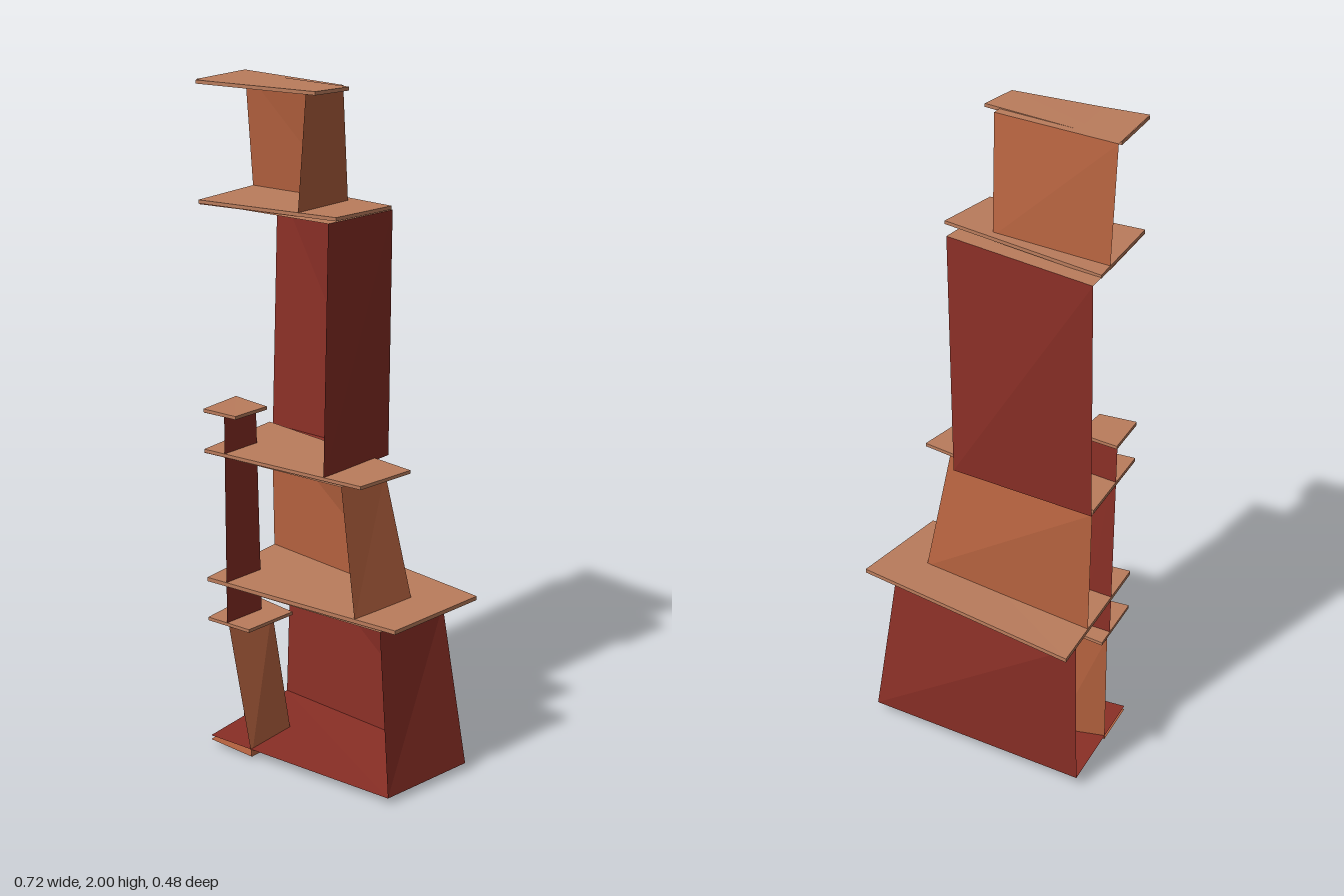
import * as THREE from 'three';

const X = -0.36, Z = 0.24; // the two planes where the building is cut open

const material = (name, color) => {
  const m = new THREE.MeshStandardMaterial({ color, side: THREE.DoubleSide, flatShading: true });
  m.name = name;
  return m;
};

function meshFrom(name, triangles, mat) {
  const g = new THREE.BufferGeometry();
  g.setAttribute('position', new THREE.Float32BufferAttribute(triangles.flat(), 3));
  g.computeVertexNormals();
  const mesh = new THREE.Mesh(g, mat);
  mesh.name = name;
  return mesh;
}

// Walls between a lower and an upper loop of corners
function walls(low, high, closed) {
  const tris = [];
  for (let i = 0; i < low.length - (closed ? 0 : 1); i++) {
    const j = (i + 1) % low.length;
    tris.push(low[i], high[i], low[j], low[j], high[i], high[j]);
  }
  return tris;
}

const floorOf = ([a, b, c, d]) => [a, b, c, a, c, d];
const roofOf = ([a, b, c, d]) => [a, c, b, a, d, c];

// Corners: back at the left cut, outer back corner, front cut, cut corner
const corners = (backZ, [cx, cz], frontX, [y0, y1, y2]) =>
  [[X, y0, backZ], [cx, y1, cz], [frontX, y2, Z], [X, y0, Z]];

export function createModel() {
  const model = new THREE.Group();
  model.name = 'leaningTower';
  const red = material('dark red brick', 0x8a2f26);
  const orange = material('orange brick', 0xb5623f);
  const clay = material('clay slab', 0xba7c5c);

  // One storey: two outer walls, floor and clay roof, open at the cuts
  function storey(name, mat, low, high) {
    const group = new THREE.Group();
    group.name = name;
    group.add(meshFrom(name + 'Walls', [...walls(low.slice(0, 3), high.slice(0, 3), false), ...floorOf(low)], mat));
    group.add(meshFrom(name + 'Roof', roofOf(high), clay));
    model.add(group);
  }

  // Thin projecting slab
  function slab(name, top, thickness = 0.01) {
    const low = top.map(([x, y, z]) => [x, y - thickness, z]);
    const tris = [...walls(low, top, true), ...floorOf(low), ...roofOf(top)];
    model.add(meshFrom(name, tris, clay));
  }

  // Main tower
  storey('groundStorey', red,
    corners(-0.14, [0.35, -0.06], 0.28, [0.035, 0.025, 0.02]),
    corners(-0.17, [0.29, -0.02], 0.25, [0.535, 0.525, 0.525]));
  slab('groundLedge', corners(-0.243, [0.36, -0.09], 0.30, [0.546, 0.546, 0.542]), 0.012);

  storey('secondStorey', orange,
    corners(-0.085, [0.21, 0.02], 0.165, [0.535, 0.535, 0.535]),
    corners(-0.08, [0.15, 0.07], 0.12, [0.932, 0.925, 0.925]));
  slab('secondLedge', corners(-0.07, [0.225, 0.055], 0.185, [0.942, 0.942, 0.94]));

  storey('thirdStorey', red,
    corners(-0.085, [0.09, -0.035], 0.06, [0.931, 0.935, 0.931]),
    corners(-0.123, [0.12, -0.005], 0.08, [1.66, 1.655, 1.655]));
  slab('thirdLedge', corners(-0.068, [0.147, 0.04], 0.105, [1.667, 1.677, 1.675]));

  storey('topStorey', orange,
    corners(-0.008, [0.0, 0.035], -0.02, [1.655, 1.662, 1.662]),
    corners(0.022, [0.02, 0.085], 0.01, [1.998, 1.996, 1.996]));
  slab('topLedge', corners(0.045, [0.065, 0.122], 0.04, [1.996, 2.0, 2.0]));

  // Small inner tower
  storey('innerBase', orange,
    corners(0.08, [-0.2, 0.053], -0.207, [0.022, 0.0, 0.008]),
    corners(0.07, [-0.255, 0.07], -0.283, [0.41, 0.41, 0.41]));
  slab('innerBaseLedge', corners(0.03, [-0.185, 0.062], -0.21, [0.42, 0.417, 0.417]));

  storey('innerColumn', red,
    corners(0.09, [-0.27, 0.1], -0.29, [0.413, 0.413, 0.413]),
    corners(0.095, [-0.272, 0.11], -0.285, [1.052, 1.052, 1.052]));
  slab('innerColumnLedge', corners(0.09, [-0.23, 0.113], -0.245, [1.063, 1.061, 1.061]));

  return model;
}
